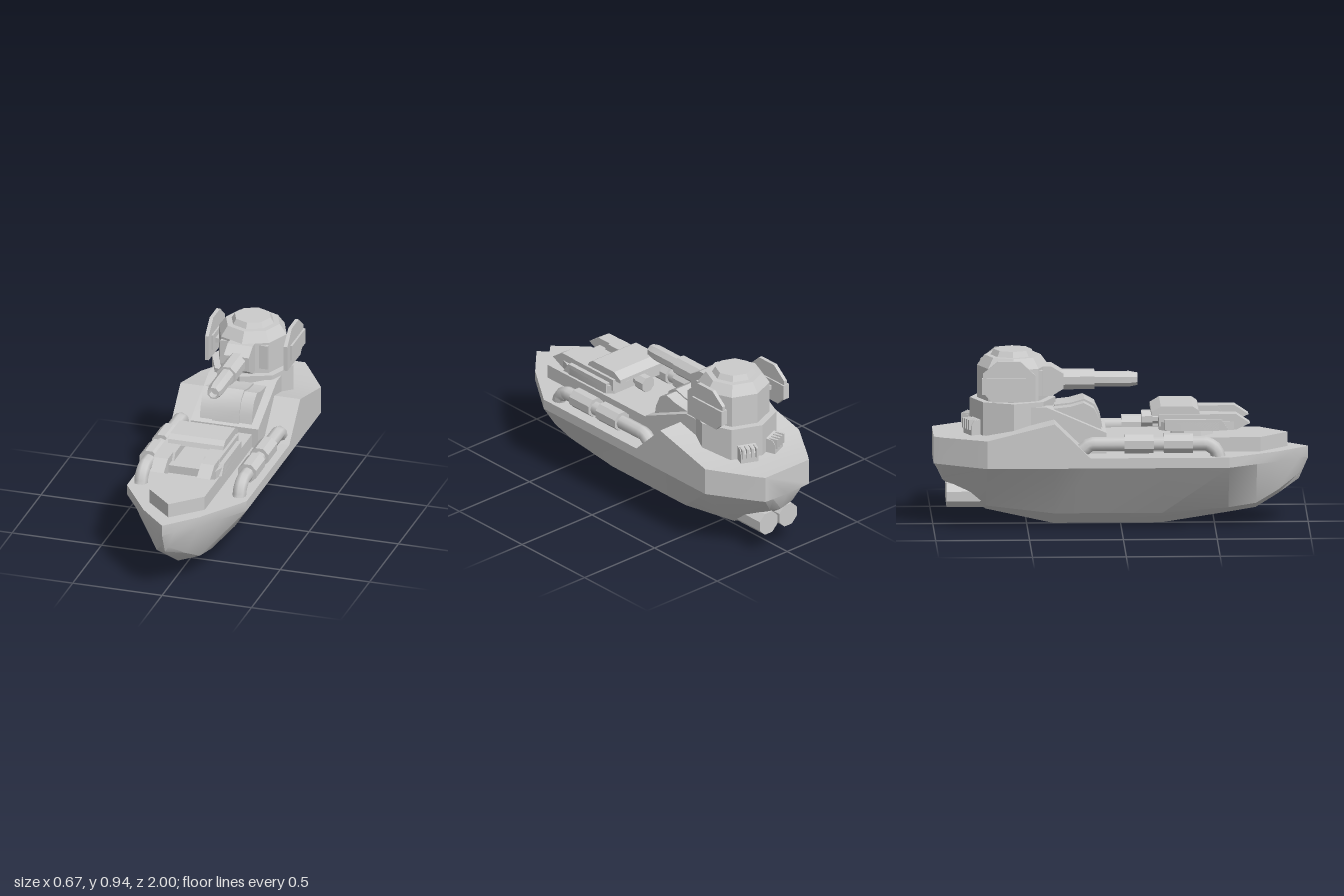
import * as THREE from 'three';
import { toCreasedNormals } from 'three/addons/utils/BufferGeometryUtils.js';

const grey = new THREE.MeshStandardMaterial({ color: 0xcccccc });

export function createModel() {
  const boat = new THREE.Group();
  const add = (name, geo, x = 0, y = 0, z = 0, crease = 0.5) => {
    const mesh = new THREE.Mesh(toCreasedNormals(geo, crease), grey);
    mesh.name = name;
    mesh.position.set(x, y, z);
    boat.add(mesh);
    return mesh;
  };
  const shape = (pts) => new THREE.Shape(pts.map(([a, b]) => new THREE.Vector2(a, b)));
  const box = (w, h, d) => new THREE.BoxGeometry(w, h, d);
  // side outline given as [z, y], extruded across the width
  const side = (pts, width) =>
    new THREE.ExtrudeGeometry(shape(pts), { depth: width, bevelEnabled: false })
      .rotateY(-Math.PI / 2).translate(width / 2, 0, 0);
  // deck outline given as [x, z] for the +x half, mirrored and extruded upward
  const plan = (half, y0, y1) => {
    const full = [...half, ...half.slice().reverse().map(([x, z]) => [-x, z])];
    return new THREE.ExtrudeGeometry(shape(full.map(([x, z]) => [x, -z])), { depth: y1 - y0, bevelEnabled: false })
      .rotateX(-Math.PI / 2).translate(0, y0, 0);
  };
  // turned part along z from [radius, z] points
  const turned = (pts) =>
    new THREE.LatheGeometry(pts.map(([r, z]) => new THREE.Vector2(r, z)), 8).rotateX(Math.PI / 2).rotateZ(Math.PI / 8);

  // Hull stations: z, half beam, deck y, side foot y, chine x, chine y, keel y
  const stations = [
    [1, 0.001, 0.41, 0.35, 0.001, 0.35, 0.349],
    [0.95, 0.05, 0.41, 0.355, 0.02, 0.265, 0.235],
    [0.84, 0.155, 0.41, 0.355, 0.08, 0.19, 0.155],
    [0.72, 0.235, 0.41, 0.355, 0.12, 0.125, 0.08],
    [0.57, 0.335, 0.41, 0.355, 0.14, 0.105, 0.055],
    [0.22, 0.335, 0.41, 0.355, 0.155, 0.08, 0],
    [-0.17, 0.335, 0.41, 0.355, 0.155, 0.08, 0],
    [-0.36, 0.335, 0.595, 0.355, 0.155, 0.08, 0],
    [-0.72, 0.335, 0.505, 0.355, 0.13, 0.12, 0.08],
    [-0.95, 0.19, 0.5, 0.355, 0.08, 0.26, 0.24],
    [-1, 0.155, 0.5, 0.355, 0.1, 0.352, 0.35],
  ];
  const pos = [], index = [], n = 7;
  stations.forEach(([z, x, yt, ys, cx, cy, yk], i) => {
    for (const [px, py] of [[x, yt], [x, ys], [cx, cy], [0, yk], [-cx, cy], [-x, ys], [-x, yt]]) pos.push(px, py, z);
    if (i === stations.length - 1) return;
    for (let j = 0; j < n; j++) {
      const a = i * n + j, c = i * n + ((j + 1) % n), b = a + n, d = c + n;
      index.push(a, c, b, b, c, d);
    }
  });
  const last = (stations.length - 1) * n;
  for (let k = 1; k < n - 1; k++) index.push(last, last + k, last + k + 1);
  const hull = new THREE.BufferGeometry();
  hull.setAttribute('position', new THREE.Float32BufferAttribute(pos, 3));
  hull.setIndex(index);
  add('hull', hull.toNonIndexed());

  // Raised foredeck and the ramp up to the turret
  add('foredeck', plan([[0.001, 0.89], [0.155, 0.74], [0.155, -0.3]], 0.4, 0.487));
  add('deckRamp', side([[-0.08, 0.4], [-0.08, 0.52], [-0.4, 0.66], [-0.5, 0.66], [-0.5, 0.4]], 0.38));

  // Curved hood with a raised centre band
  const hood = [[-0.1, 0.5], [-0.115, 0.58], [-0.145, 0.645], [-0.2, 0.675], [-0.27, 0.655], [-0.36, 0.645], [-0.36, 0.5]];
  add('hood', side(hood, 0.29), 0, 0, 0, 0.7);
  add('hoodBand', side(hood, 0.15), 0, 0.01, 0.005, 0.7);

  // Forward launcher
  add('launcherNeck', new THREE.CylinderGeometry(0.11, 0.125, 0.06, 8).rotateY(Math.PI / 8), 0, 0.505, 0.38);
  add('launcherBed', plan([[0.08, 0.6], [0.17, 0.6], [0.195, 0.52], [0.195, 0.24], [0.16, 0.2]], 0.53, 0.575));
  for (const s of [1, -1]) {
    add('launcherCheek', side([[0.2, 0.55], [0.2, 0.615], [0.52, 0.615], [0.56, 0.55]], 0.09), s * 0.125);
    add('launcherRail', side([[0.23, 0.535], [0.23, 0.59], [0.53, 0.59], [0.57, 0.535]], 0.03), s * 0.18);
    add('launcherProng', side([[0.5, 0.535], [0.5, 0.615], [0.61, 0.615], [0.685, 0.565], [0.61, 0.53]], 0.075), s * 0.13);
  }
  add('launcherLid', side([[0.42, 0.61], [0.41, 0.635], [0.38, 0.655], [0.21, 0.655], [0.16, 0.625], [0.16, 0.605]], 0.31));
  add('launcherPivot', turned([[0, -0.04], [0.045, -0.04], [0.045, 0.02], [0.03, 0.02], [0.03, 0.08], [0, 0.08]]), 0, 0.565, 0.15);

  // Side pipes with clamps
  for (const s of [1, -1]) {
    const path = new THREE.CurvePath();
    const route = [[0.4, 0.515], [0.445, 0.5], [0.477, 0.455], [0.477, -0.17], [0.42, -0.24], [0.38, -0.25]]
      .map(([y, z]) => new THREE.Vector3(0, y, z));
    for (let i = 1; i < route.length; i++) path.add(new THREE.LineCurve3(route[i - 1], route[i]));
    add('sidePipe', new THREE.TubeGeometry(path, 48, 0.038, 8), s * 0.275, 0, 0, 0.9);
    for (const z of [0.3, 0.09])
      add('pipeClamp', new THREE.CylinderGeometry(0.055, 0.055, 0.155, 8).rotateY(Math.PI / 8).rotateX(Math.PI / 2), s * 0.275, 0.48, z);
  }

  // Turret base, body and dome
  const tz = -0.575;
  add('turretBase', new THREE.CylinderGeometry(0.228, 0.228, 0.2, 8), 0, 0.585, tz);
  const dome = [[0, 0.68], [0.19, 0.68], [0.19, 0.86], [0.15, 0.915], [0.118, 0.915], [0.1, 0.945], [0, 0.945]];
  add('turret', new THREE.LatheGeometry(dome.map(([r, y]) => new THREE.Vector2(r, y)), 8), 0, 0, tz);

  // Gun with its mantlet
  add('mantletFrame', box(0.265, 0.135, 0.11), 0, 0.78, -0.475);
  add('mantlet', side([[-0.45, 0.7], [-0.37, 0.7], [-0.305, 0.74], [-0.305, 0.82], [-0.37, 0.86], [-0.45, 0.86]], 0.14), -0.005);
  add('gunBarrel', turned([[0, -0.35], [0.056, -0.35], [0.056, -0.14], [0.043, -0.14], [0.043, 0.045],
    [0.034, 0.09], [0.025, 0.09], [0.025, 0.05], [0, 0.05]]), -0.007, 0.78, 0);

  // Side shields on arms, rear vents and thrusters
  const shield = [[-0.46, 0.7], [-0.46, 0.84], [-0.54, 0.915], [-0.66, 0.915], [-0.74, 0.85], [-0.74, 0.75], [-0.69, 0.695]];
  for (const s of [1, -1]) {
    add('shield', side(shield, 0.02), s * 0.22);
    add('shieldBar', box(0.04, 0.085, 0.235), s * 0.221, 0.783, -0.627);
    add('shieldArm', box(0.09, 0.025, 0.1), s * 0.195, 0.78, -0.6);

    const vent = new THREE.Group();
    vent.name = 'rearVent';
    vent.position.set(s * 0.095, 0.5, -0.795);
    vent.rotation.y = -s * Math.PI / 8;
    const body = new THREE.Mesh(side([[0.06, 0], [0.06, 0.09], [-0.01, 0.08], [-0.025, 0.055], [-0.025, 0]], 0.1), grey);
    body.name = 'ventBody';
    vent.add(body);
    for (let i = 0; i < 4; i++) {
      const fin = new THREE.Mesh(box(0.012, 0.055, 0.05), grey);
      fin.name = 'ventFin';
      fin.position.set(-0.039 + i * 0.026, 0.06, -0.012);
      vent.add(fin);
    }
    boat.add(vent);

    add('thruster', turned([[0, -0.93], [0.068, -0.93], [0.068, -0.62], [0, -0.55]]), s * 0.07, 0.17, 0);
  }
  // turned parts may wind either way, so they show from both sides
  boat.traverse((m) => {
    if (m.name === 'thruster' || m.name === 'gunBarrel' || m.name === 'launcherPivot') {
      m.material = grey.clone();
      m.material.side = THREE.DoubleSide;
    }
  });
  return boat;
}
